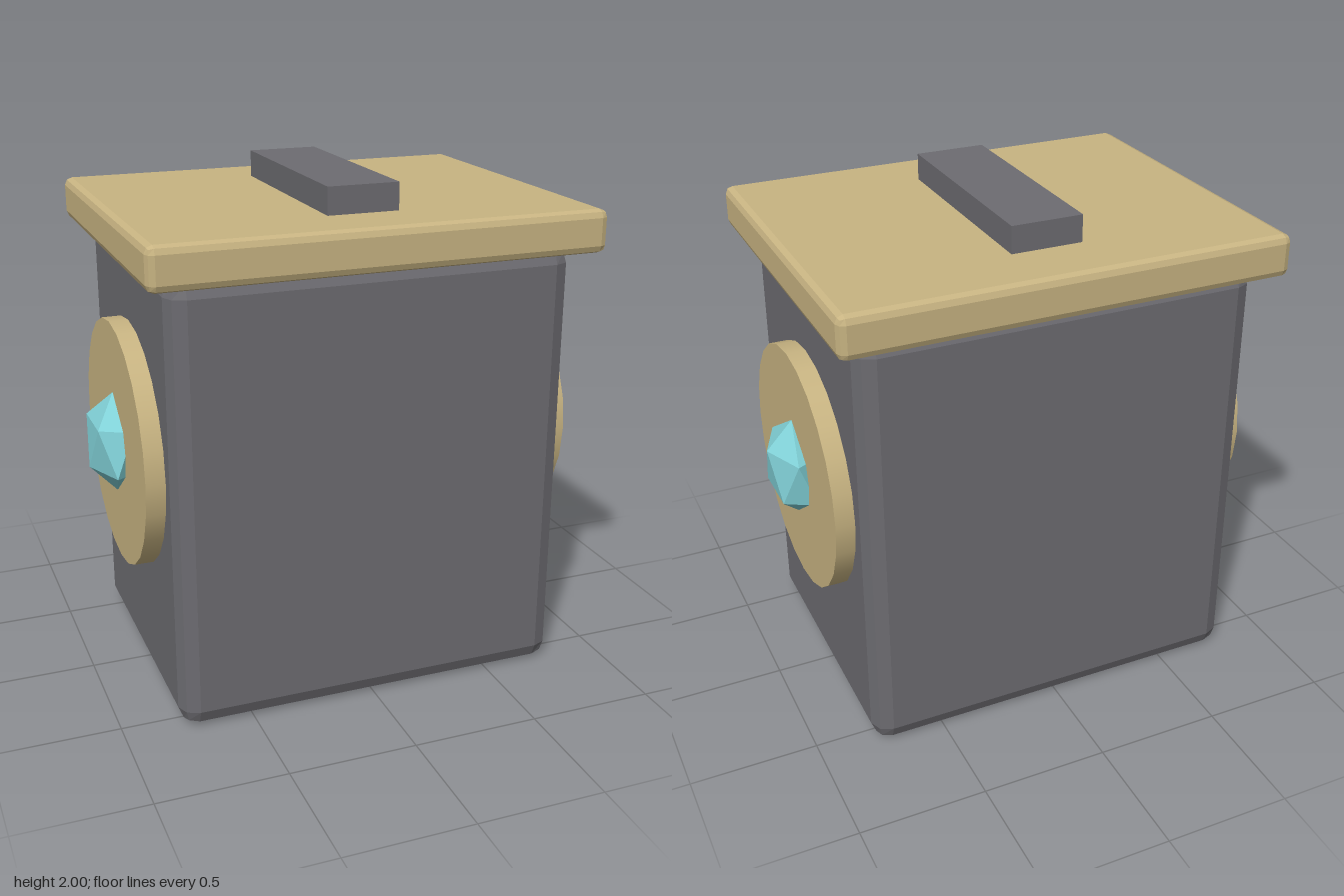
import * as THREE from 'three';
import { RoundedBoxGeometry } from 'three/addons/geometries/RoundedBoxGeometry.js';

const stone = new THREE.MeshStandardMaterial({ name: 'darkGrey', color: 0x6d6c71 });
const brass = new THREE.MeshStandardMaterial({ name: 'sand', color: 0xc8b482 });
const crystal = new THREE.MeshStandardMaterial({ name: 'aqua', color: 0x80d0d6 });

function part(name, geometry, material, x, y, z) {
  const mesh = new THREE.Mesh(geometry, material);
  mesh.name = name;
  mesh.position.set(x, y, z);
  return mesh;
}

// Box with faceted two-step bevels
function bevelBox(w, h, d, r) {
  const geometry = new RoundedBoxGeometry(w, h, d, 1, r);
  geometry.computeVertexNormals();
  return geometry;
}

export function createModel() {
  const model = new THREE.Group();
  model.name = 'lidded box';

  // Body, lid and the bar on top
  model.add(part('body', bevelBox(1.57, 1.75, 1.22, 0.07), stone, 0, 0.875, 0));
  model.add(part('lid', bevelBox(1.745, 0.165, 1.4, 0.03), brass, 0, 1.8125, 0));
  model.add(part('lidHandle', new THREE.BoxGeometry(0.28, 0.14, 0.88), stone, 0, 1.93, 0));

  // Side discs, each with a flattened gem standing on its point
  const disc = new THREE.CylinderGeometry(0.488, 0.488, 0.12, 24).rotateZ(Math.PI / 2);
  const tilt = Math.atan(2 / (1 + Math.sqrt(5)));
  const gem = new THREE.IcosahedronGeometry(0.205, 0).rotateZ(-tilt).scale(0.58, 1, 1);
  gem.computeVertexNormals();
  for (const [side, s] of [['left', 1], ['right', -1]]) {
    model.add(part(side + 'Disc', disc, brass, s * 0.8, 0.97, 0));
    model.add(part(side + 'Gem', gem, crystal, s * 0.86, 0.97, 0));
  }
  return model;
}
